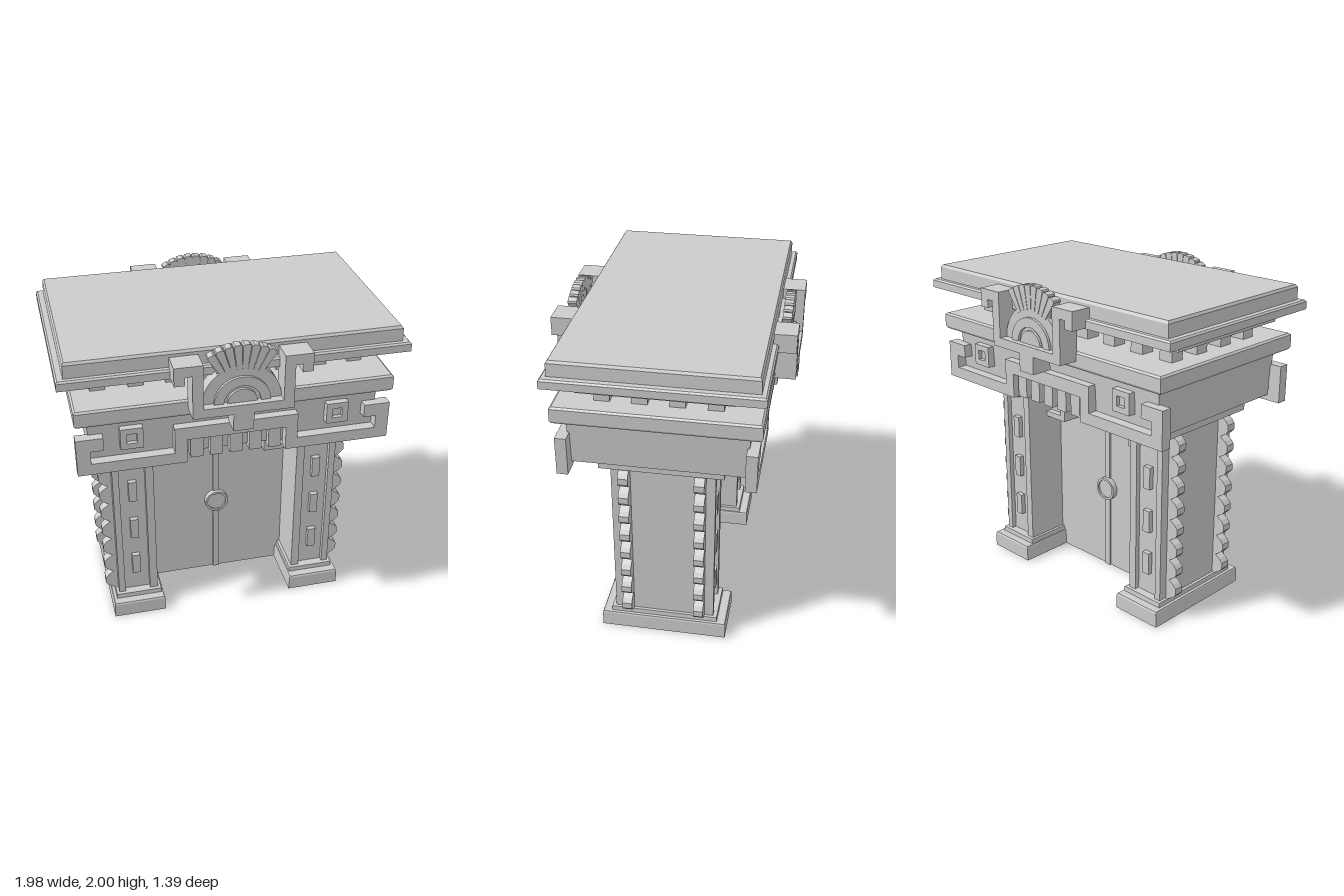
import * as THREE from 'three';

const mat = new THREE.MeshStandardMaterial({ color: 0xcccccc, flatShading: true });
const openMat = new THREE.MeshStandardMaterial({ color: 0xcccccc, flatShading: true, side: THREE.DoubleSide });

function add(parent, name, geo, material = mat) {
  const m = new THREE.Mesh(geo, material);
  m.name = name;
  parent.add(m);
  return m;
}

// Box between limits; inset narrows the top
function block(parent, name, x0, x1, y0, y1, z0, z1, inset = 0) {
  const g = new THREE.BoxGeometry(x1 - x0, y1 - y0, z1 - z0);
  const p = g.attributes.position;
  for (let i = 0; i < p.count; i++) {
    if (p.getY(i) > 0) {
      p.setX(i, p.getX(i) - Math.sign(p.getX(i)) * inset);
      p.setZ(i, p.getZ(i) - Math.sign(p.getZ(i)) * inset);
    }
  }
  g.translate((x0 + x1) / 2, (y0 + y1) / 2, (z0 + z1) / 2);
  return add(parent, name, g);
}

const slab = (parent, name, hx, y0, y1, hz, inset = 0) =>
  block(parent, name, -hx, hx, y0, y1, -hz, hz, inset);

// Hollow shell through rectangular sections [x0, x1, y, half depth]
function shell(parent, name, sections) {
  const pos = [], idx = [];
  sections.forEach(([x0, x1, y, h], k) => {
    pos.push(x0, y, h, x1, y, h, x1, y, -h, x0, y, -h);
    for (let i = 0; k > 0 && i < 4; i++) {
      const a = (k - 1) * 4 + i, b = (k - 1) * 4 + (i + 1) % 4;
      idx.push(a, b, b + 4, a, b + 4, a + 4);
    }
  });
  const g = new THREE.BufferGeometry();
  g.setAttribute('position', new THREE.Float32BufferAttribute(pos, 3));
  g.setIndex(idx);
  const flat = g.toNonIndexed();
  flat.computeVertexNormals();
  return add(parent, name, flat, openMat);
}

const toShape = (pts) => new THREE.Shape(pts.map(([x, y]) => new THREE.Vector2(x, y)));

// Closed outline extruded from z0 to z1
function plate(parent, name, shape, z0, z1) {
  const g = new THREE.ExtrudeGeometry(shape, { depth: z1 - z0, bevelEnabled: false, curveSegments: 12 });
  g.translate(0, 0, z0);
  return add(parent, name, g);
}

// Right half outline (from centre to centre) completed by its mirror image
const mirrored = (half) => toShape([...half, ...half.slice().reverse().map(([x, y]) => [-x, y])]);

// Half-disc, or half-ring when r0 > 0
function arch(r0, r1, cy) {
  const s = new THREE.Shape();
  s.absarc(0, cy, r1, 0, Math.PI, false);
  if (r0 > 0) s.absarc(0, cy, r0, Math.PI, 0, true);
  s.closePath();
  return s;
}

// Pillar with plinth, grooved faces and scalloped edges, on the side s
function pillar(s) {
  const g = new THREE.Group();
  g.name = s > 0 ? 'leftPillar' : 'rightPillar';
  const span = (x0, x1) => (s > 0 ? [x0, x1] : [-x1, -x0]);
  const b = (n, x0, x1, ...r) => block(g, n, ...span(x0, x1), ...r);
  shell(g, 'pillarAndPlinth', [
    [...span(0.415, 0.745), 0, 0.385],
    [...span(0.418, 0.742), 0.09, 0.385],
    [...span(0.422, 0.738), 0.1, 0.38],
    [...span(0.43, 0.72), 0.1, 0.33],
    [...span(0.432, 0.718), 0.13, 0.328],
    [...span(0.45, 0.7), 0.13, 0.275],
    [...span(0.45, 0.7), 1.2, 0.275],
  ]);
  for (const f of [-1, 1]) {
    const z0 = f > 0 ? 0.275 : -0.305, z1 = z0 + 0.03;
    b('pillarInnerEdge', 0.45, 0.5, 0.13, 1.2, z0, z1);
    b('pillarOuterEdge', 0.66, 0.7, 0.13, 1.2, z0, z1);
    for (let i = 0; i < 4; i++) {
      const y = 0.27 + i * 0.28;
      b('pillarPanel', 0.555, 0.605, y, Math.min(y + 0.14, 1.2), z0, z1);
    }
    // Column of faceted scallops
    const pts = [[s * 0.7, 0.13]], step = 1.06 / 8;
    for (let i = 0; i < 8; i++) {
      for (const [x, t] of [[0.72, 0], [0.756, 0.17], [0.776, 0.35], [0.776, 0.65], [0.756, 0.83]]) {
        pts.push([s * x, 0.13 + (i + t) * step]);
      }
    }
    pts.push([s * 0.72, 1.19], [s * 0.7, 1.19]);
    plate(g, 'scallops', toShape(pts), f * 0.22 - 0.03, f * 0.22 + 0.03);
  }
  return g;
}

// Everything fixed to one face of the gate
function face(name) {
  const g = new THREE.Group();
  g.name = name;

  // Door seam and ring
  block(g, 'doorSeam', -0.02, 0.02, 0, 1.1, 0.02, 0.042);
  const ring = new THREE.Shape().absarc(0, 0.56, 0.075, 0, Math.PI * 2);
  ring.holes.push(new THREE.Path().absarc(0, 0.56, 0.06, 0, Math.PI * 2, true));
  plate(g, 'doorRing', ring, 0.02, 0.065);
  plate(g, 'doorKnob', new THREE.Shape().absarc(0, 0.56, 0.06, 0, Math.PI * 2), 0.02, 0.055);

  // Stepped moulding over the door
  plate(g, 'doorMoulding', mirrored([
    [0, 1.1], [0.283, 1.1], [0.283, 0.97], [0.455, 0.97],
    [0.455, 1.005], [0.32, 1.005], [0.32, 1.138], [0, 1.138],
  ]), 0.02, 0.15);

  // Hooked fret band
  plate(g, 'fretBand', mirrored([
    [0, 1.39], [0.29, 1.39], [0.29, 1.24], [0.915, 1.24], [0.915, 1.47], [0.76, 1.47],
    [0.76, 1.39], [0.835, 1.39], [0.835, 1.31], [0.36, 1.31], [0.36, 1.47], [0, 1.47],
  ]), 0.49, 0.555);

  // Teeth below the band
  for (let i = -2; i <= 2; i++) {
    block(g, 'tooth', i * 0.115 - 0.037, i * 0.115 + 0.037, 1.255, 1.4, 0.43, 0.535);
  }

  // Square rosettes
  for (const s of [-1, 1]) {
    const sq = (r) => [[-r, -r], [r, -r], [r, r], [-r, r]].map(([x, y]) => [s * 0.6 + x, 1.437 + y]);
    const frame = toShape(sq(0.065));
    frame.holes.push(toShape(sq(0.03)));
    plate(g, 'squareFrame', frame, 0.49, 0.545);
    plate(g, 'squareCentre', toShape(sq(0.03)), 0.49, 0.52);
  }

  // Hooked crest bracket
  plate(g, 'crestBracket', mirrored([
    [0, 1.5], [0.058, 1.5], [0.058, 1.605], [0.285, 1.605], [0.285, 1.87], [0.325, 1.87],
    [0.325, 1.82], [0.385, 1.82], [0.385, 1.93], [0.225, 1.93], [0.225, 1.66], [0, 1.66],
  ]), 0.565, 0.695);

  // Half-sun with raised arcs
  plate(g, 'sunDisc', arch(0, 0.225, 1.655), 0.565, 0.645);
  plate(g, 'sunOuterArc', arch(0.105, 0.16, 1.655), 0.64, 0.662);
  plate(g, 'sunInnerArc', arch(0, 0.085, 1.655), 0.64, 0.662);

  // Fan of closely set rays
  const n = 8, spread = 1.22, w = spread / n;
  for (let i = 0; i < n; i++) {
    const a = Math.PI / 2 - spread / 2 + i * w;
    const at = (r, t) => [r * Math.cos(a + w * t), 1.655 + r * Math.sin(a + w * t)];
    plate(g, 'sunRay', toShape([
      at(0.2, 0.04), at(0.337, 0.04), at(0.345, 0.2), at(0.345, 0.8), at(0.337, 0.96), at(0.2, 0.96),
    ]), 0.595, 0.648);
  }
  plate(g, 'sunRayBacking', toShape([
    [-0.12, 1.8], [0.12, 1.8], [0.185, 1.925], [0.1, 1.972], [0, 1.988], [-0.1, 1.972], [-0.185, 1.925],
  ]), 0.598, 0.632);
  return g;
}

export function createModel() {
  const model = new THREE.Group();
  model.name = 'templeGate';

  // Pillars, door and lintel
  model.add(pillar(1), pillar(-1));
  slab(model, 'door', 0.455, 0, 1.2, 0.03);
  plate(model, 'doorLintel', mirrored([
    [0, 1.12], [0.3, 1.12], [0.3, 0.99], [0.455, 0.99], [0.455, 1.25], [0, 1.25],
  ]), -0.11, 0.11);
  plate(model, 'capSlab', mirrored([
    [0, 1.23], [0.385, 1.23], [0.385, 1.195], [0.76, 1.195], [0.76, 1.28], [0, 1.28],
  ]), -0.36, 0.36);

  // Frieze, flaring slightly upwards
  slab(model, 'frieze', 0.83, 1.275, 1.565, 0.492, -0.015);
  slab(model, 'corniceLower', 0.905, 1.56, 1.575, 0.565, -0.01);
  slab(model, 'cornice', 0.915, 1.575, 1.65, 0.575);
  slab(model, 'corniceEdge', 0.915, 1.65, 1.66, 0.575, 0.012);

  // Rows of short posts under the roof
  for (let i = 0; i < 8; i++) {
    for (let j = 0; j < 4; j++) {
      const x = (i - 3.5) * 0.215, z = (j - 1.5) * 0.207;
      block(model, 'roofPost', x - 0.044, x + 0.044, 1.655, 1.765, z - 0.044, z + 0.044);
    }
  }

  // Stepped roof
  slab(model, 'roofUnderside', 0.9, 1.757, 1.82, 0.425);
  slab(model, 'roofEave', 0.992, 1.815, 1.86, 0.595);
  slab(model, 'roofEaveEdge', 0.992, 1.86, 1.87, 0.595, 0.01);
  slab(model, 'roofTop', 0.95, 1.87, 1.945, 0.562, 0.002);
  slab(model, 'roofTopEdge', 0.948, 1.945, 1.96, 0.56, 0.01);

  // Same ornaments on front and back
  const back = face('backOrnaments');
  back.rotation.y = Math.PI;
  model.add(face('frontOrnaments'), back);
  return model;
}
